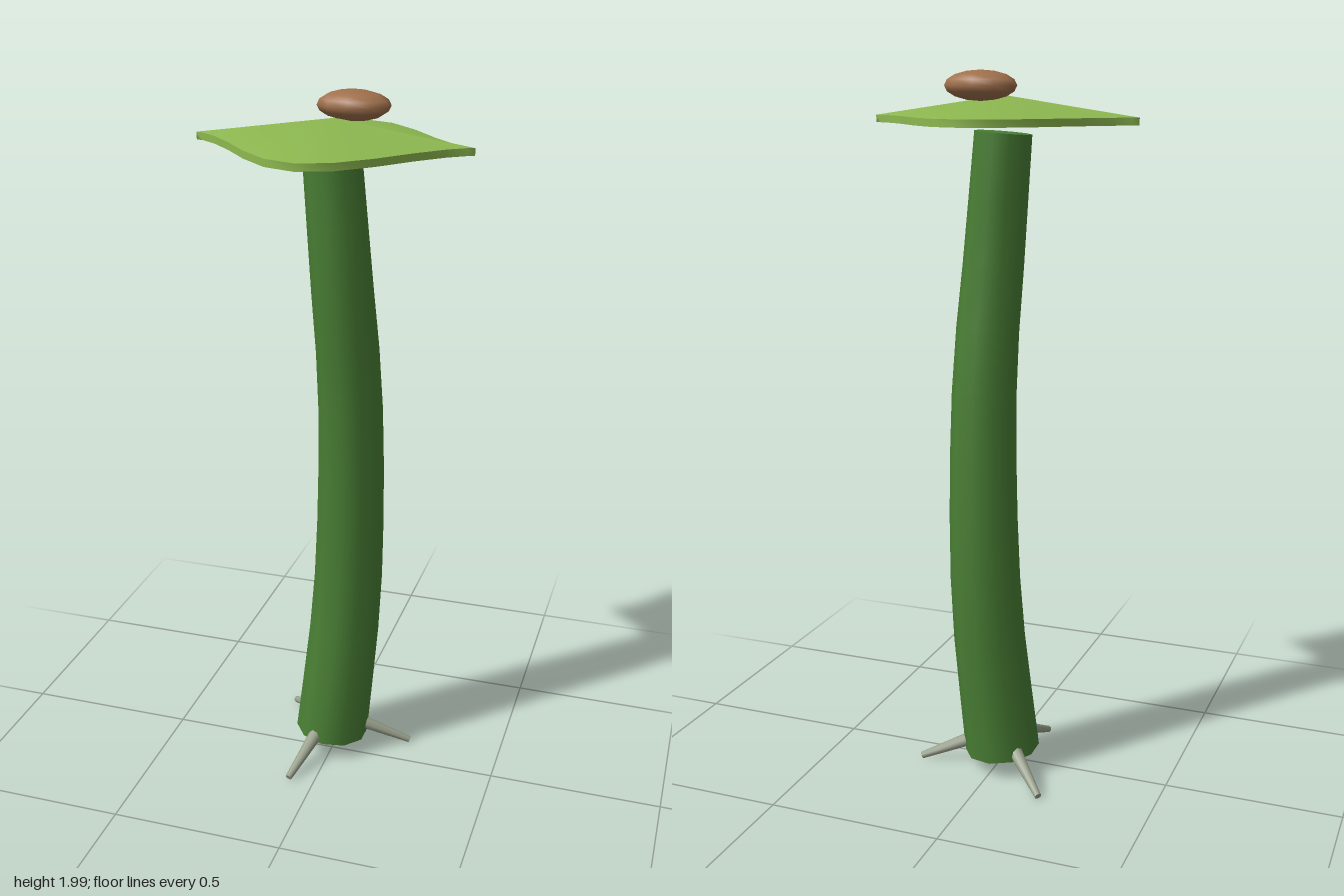
import * as THREE from 'three';

const mat = (name, color, side = THREE.FrontSide) => {
  const m = new THREE.MeshStandardMaterial({ color, side });
  m.name = name;
  return m;
};

const part = (name, geometry, material) => {
  const m = new THREE.Mesh(geometry, material);
  m.name = name;
  return m;
};

// Indexed surface with smooth normals from [x, y, z] points
function surface(points, index) {
  const g = new THREE.BufferGeometry();
  g.setAttribute('position', new THREE.Float32BufferAttribute(points.flat(), 3));
  g.setIndex(index);
  g.computeVertexNormals();
  return g;
}

// Fan of triangles from a centre point to a closed ring
function fan(center, ring, flip) {
  const index = [];
  ring.forEach((_, i) => {
    const a = i + 1, b = ((i + 1) % ring.length) + 1;
    index.push(0, ...(flip ? [a, b] : [b, a]));
  });
  return surface([center, ...ring], index);
}

// Bent, tapering stem with closed ends
function makeStem(material) {
  const group = new THREE.Group();
  group.name = 'stem';
  const path = new THREE.CatmullRomCurve3([
    [-0.01, 0.06, -0.035], [0.028, 0.5, -0.058], [0.041, 0.85, -0.052],
    [0.042, 1.2, -0.032], [0.026, 1.5, -0.005], [0.001, 1.838, 0.002],
  ].map(p => new THREE.Vector3(...p)));
  const steps = 10, sides = 10;
  const tube = new THREE.TubeGeometry(path, steps, 0.1, sides);
  const pos = tube.attributes.position, nor = tube.attributes.normal;
  const rings = [];
  for (let i = 0; i <= steps; i++) {
    const c = path.getPointAt(i / steps);
    const r = 0.109 - 0.031 * (i / steps);
    const ring = [];
    for (let j = 0; j <= sides; j++) {
      const k = i * (sides + 1) + j;
      const v = new THREE.Vector3().fromBufferAttribute(nor, k).multiplyScalar(r).add(c);
      pos.setXYZ(k, v.x, v.y, v.z);
      if (j < sides) ring.push(v.toArray());
    }
    rings.push(ring);
  }
  tube.computeBoundingSphere();
  group.add(part('stemSide', tube, material));
  // End caps, each wound to face outwards
  for (const [i, name, up] of [[0, 'stemBottom', -1], [steps, 'stemTop', 1]]) {
    const center = path.getPointAt(i / steps).toArray();
    let cap = fan(center, rings[i], false);
    if (cap.attributes.normal.getY(0) * up < 0) cap = fan(center, rings[i], true);
    group.add(part(name, cap, material));
  }
  return group;
}

// Pointed leaf: a shallow peaked sheet with a thin rim
function makeLeaf(material) {
  const group = new THREE.Group();
  group.name = 'leaf';
  const quarter = [[0.375, 0], [0.355, 0.006], [0.31, 0.04], [0.245, 0.108],
    [0.17, 0.2], [0.086, 0.28], [0, 0.31]];
  const half = [...quarter, ...quarter.slice(0, -1).reverse().map(([x, z]) => [-x, z])];
  const outline = [...half, ...half.slice(1, -1).reverse().map(([x, z]) => [x, -z])];
  const ringAt = y => outline.map(([x, z]) => [x, y, z]);
  const top = ringAt(1.88), bottom = ringAt(1.86), n = outline.length;
  group.add(part('leafTop', fan([0, 1.935, 0], top, false), material));
  group.add(part('leafUnderside', fan([0, 1.915, 0], bottom, true), material));
  const index = [];
  for (let i = 0; i < n; i++) {
    const j = (i + 1) % n;
    index.push(i, j, n + i, j, n + j, n + i);
  }
  group.add(part('leafRim', surface([...top, ...bottom], index), material));
  return group;
}

// Three blunt roots spread evenly around the foot
function makeRoots(material) {
  const group = new THREE.Group();
  group.name = 'roots';
  const up = new THREE.Vector3(0, 1, 0);
  for (let i = 0; i < 3; i++) {
    const a = THREE.MathUtils.degToRad(105 + i * 120);
    const at = (r, y) => new THREE.Vector3(-0.012 + r * Math.cos(a), y, -0.035 + r * Math.sin(a));
    const base = at(0.08, 0.087), tip = at(0.242, 0.017);
    const dir = tip.clone().sub(base);
    const root = part('root', new THREE.CylinderGeometry(0.01, 0.021, dir.length(), 8), material);
    root.position.copy(base).add(tip).multiplyScalar(0.5);
    root.quaternion.setFromUnitVectors(up, dir.normalize());
    group.add(root);
  }
  return group;
}

export function createModel() {
  const model = new THREE.Group();
  model.name = 'plant';
  model.add(makeStem(mat('stemGreen', 0x4a8035)));
  model.add(makeLeaf(mat('leafGreen', 0x8db850, THREE.DoubleSide)));
  model.add(makeRoots(mat('rootGrey', 0x9ca38f)));

  // Seed resting on the leaf
  const seed = part('seed', new THREE.SphereGeometry(1, 10, 8).rotateY(Math.PI / 2), mat('seedBrown', 0xa0704b));
  seed.scale.set(0.1, 0.04, 0.066);
  seed.position.set(0.04, 1.96, -0.063);
  model.add(seed);
  return model;
}
